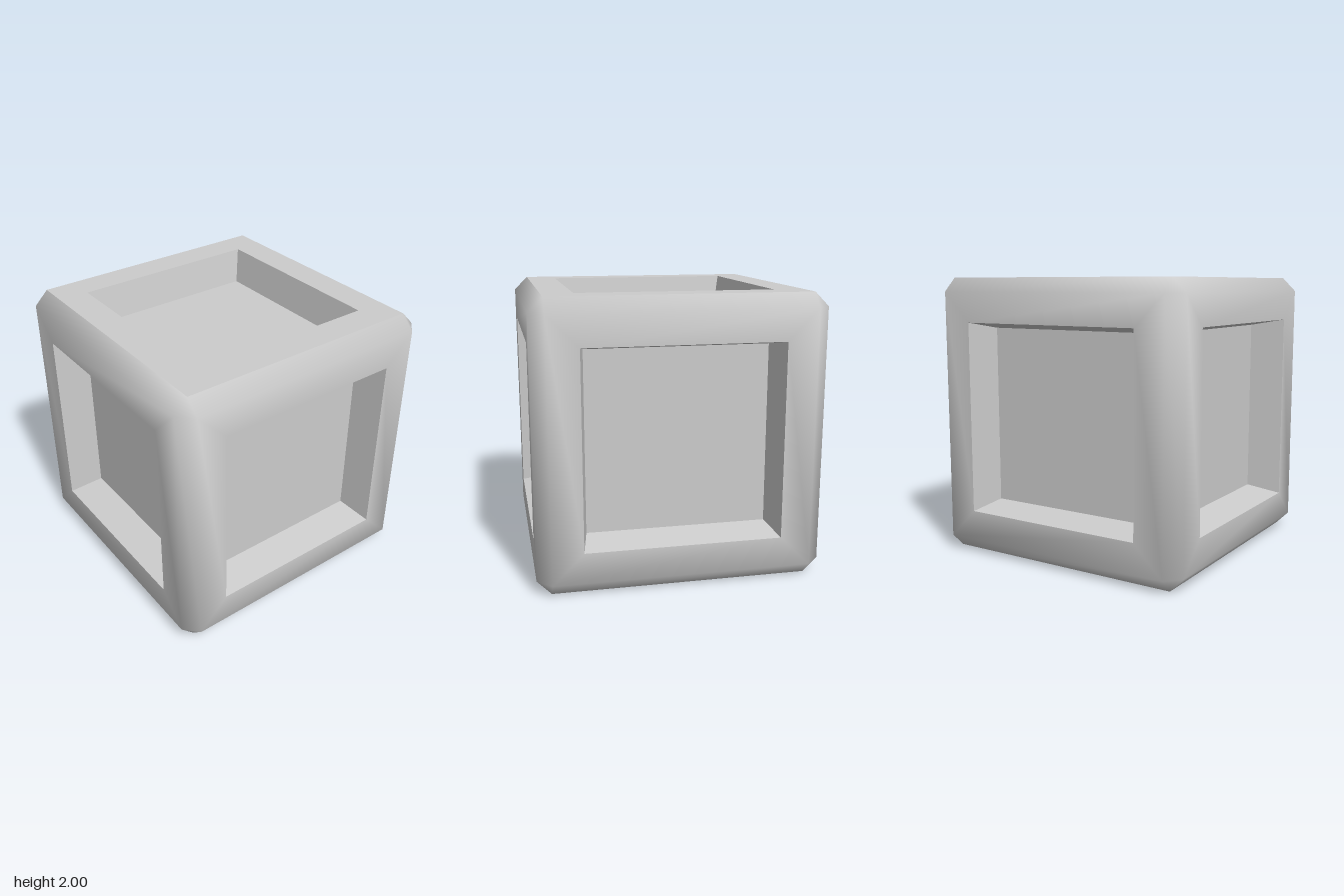
import * as THREE from 'three';

const HALF = 1, BEVEL = 0.9;                    // cube half size, where the bevel starts
const OPENING = 0.685, FLOOR = 0.64, DEPTH = 0.25; // tapered recess in every face
const SIGNS = [-1, 1];
const LOOP = [[-1, -1], [1, -1], [1, 1], [-1, 1]];

// Collects polygons of {p, n} corners, turned to face along the hint direction
class Surface {
  constructor() { this.pos = []; this.nor = []; }
  add(corners, hint) {
    const [a, b, c] = corners.map((k) => k.p);
    const flat = b.clone().sub(a).cross(c.clone().sub(a)).normalize();
    const list = corners.slice();
    if (flat.dot(hint) < 0) { list.reverse(); flat.negate(); }
    for (let i = 1; i < list.length - 1; i++) {
      for (const k of [list[0], list[i], list[i + 1]]) {
        this.pos.push(...k.p.toArray());
        this.nor.push(...(k.n || flat).toArray());
      }
    }
  }
  mesh(name, material) {
    const g = new THREE.BufferGeometry();
    g.setAttribute('position', new THREE.Float32BufferAttribute(this.pos, 3));
    g.setAttribute('normal', new THREE.Float32BufferAttribute(this.nor, 3));
    const m = new THREE.Mesh(g, material);
    m.name = name;
    return m;
  }
}

// Vector with the given component along an axis and two across it
function onFace(axis, along, u, v) {
  const r = new THREE.Vector3();
  r.setComponent(axis, along);
  r.setComponent((axis + 1) % 3, u);
  r.setComponent((axis + 2) % 3, v);
  return r;
}

// Bevel corner belonging to the face on one axis, with a softened normal.
// The top face stays crisp, so its normal is not blended into the bevel.
function bevelCorner(axis, signs) {
  const p = new THREE.Vector3(), n = new THREE.Vector3();
  const crispTop = axis === 1 && signs[1] > 0;
  for (let i = 0; i < 3; i++) {
    p.setComponent(i, signs[i] * (i === axis ? HALF : BEVEL));
    n.setComponent(i, signs[i] * (i === axis ? (crispTop ? 0.64 : 1) : 0.39));
  }
  return { p, n: n.normalize() };
}

export function createModel() {
  const grey = new THREE.MeshStandardMaterial({ color: 0xcccccc });
  grey.name = 'plain grey';
  const cube = new THREE.Group();
  cube.name = 'panelledCube';
  const faceNames = [['left', 'right'], ['top', 'bottom'], ['front', 'back']];

  // Six faces: raised frame, sloping recess walls and recessed panel
  for (let axis = 0; axis < 3; axis++) {
    for (const s of SIGNS) {
      const name = faceNames[axis][s > 0 ? 0 : 1];
      const dir = onFace(axis, s, 0, 0);
      const frame = new Surface(), walls = new Surface(), panel = new Surface();
      const outer = LOOP.map(([u, v]) => {
        const k = bevelCorner(axis, onFace(axis, s, u, v).toArray());
        return name === 'top' ? { p: k.p, n: dir } : k;
      });
      const rim = LOOP.map(([u, v]) => ({ p: onFace(axis, s * HALF, u * OPENING, v * OPENING), n: dir }));
      const base = LOOP.map(([u, v]) => ({ p: onFace(axis, s * (HALF - DEPTH), u * FLOOR, v * FLOOR) }));
      for (let i = 0; i < 4; i++) {
        const j = (i + 1) % 4;
        frame.add([outer[i], outer[j], rim[j], rim[i]], dir);
        const inward = dir.clone().sub(rim[i].p.clone().add(rim[j].p).multiplyScalar(0.5));
        walls.add([{ p: rim[i].p }, { p: rim[j].p }, base[j], base[i]], inward);
      }
      panel.add(base, dir);

      const face = new THREE.Group();
      face.name = name + 'Face';
      face.add(
        frame.mesh(name + 'Frame', grey),
        walls.mesh(name + 'RecessWalls', grey),
        panel.mesh(name + 'Panel', grey),
      );
      cube.add(face);
    }
  }

  // Twelve bevelled edges
  const edges = new Surface();
  for (let c = 0; c < 3; c++) {
    const a = (c + 1) % 3, b = (c + 2) % 3;
    for (const [u, v] of LOOP) {
      const low = onFace(c, -1, u, v).toArray(), high = onFace(c, 1, u, v).toArray();
      edges.add(
        [bevelCorner(a, low), bevelCorner(a, high), bevelCorner(b, high), bevelCorner(b, low)],
        onFace(c, 0, u, v),
      );
    }
  }
  cube.add(edges.mesh('bevelledEdges', grey));

  // Eight cut corners
  const corners = new Surface();
  for (const y of SIGNS) {
    for (const [x, z] of LOOP) {
      corners.add([0, 1, 2].map((axis) => bevelCorner(axis, [x, y, z])), new THREE.Vector3(x, y, z));
    }
  }
  cube.add(corners.mesh('cutCorners', grey));

  cube.position.y = HALF;
  const model = new THREE.Group();
  model.name = 'cubeModel';
  model.add(cube);
  return model;
}
